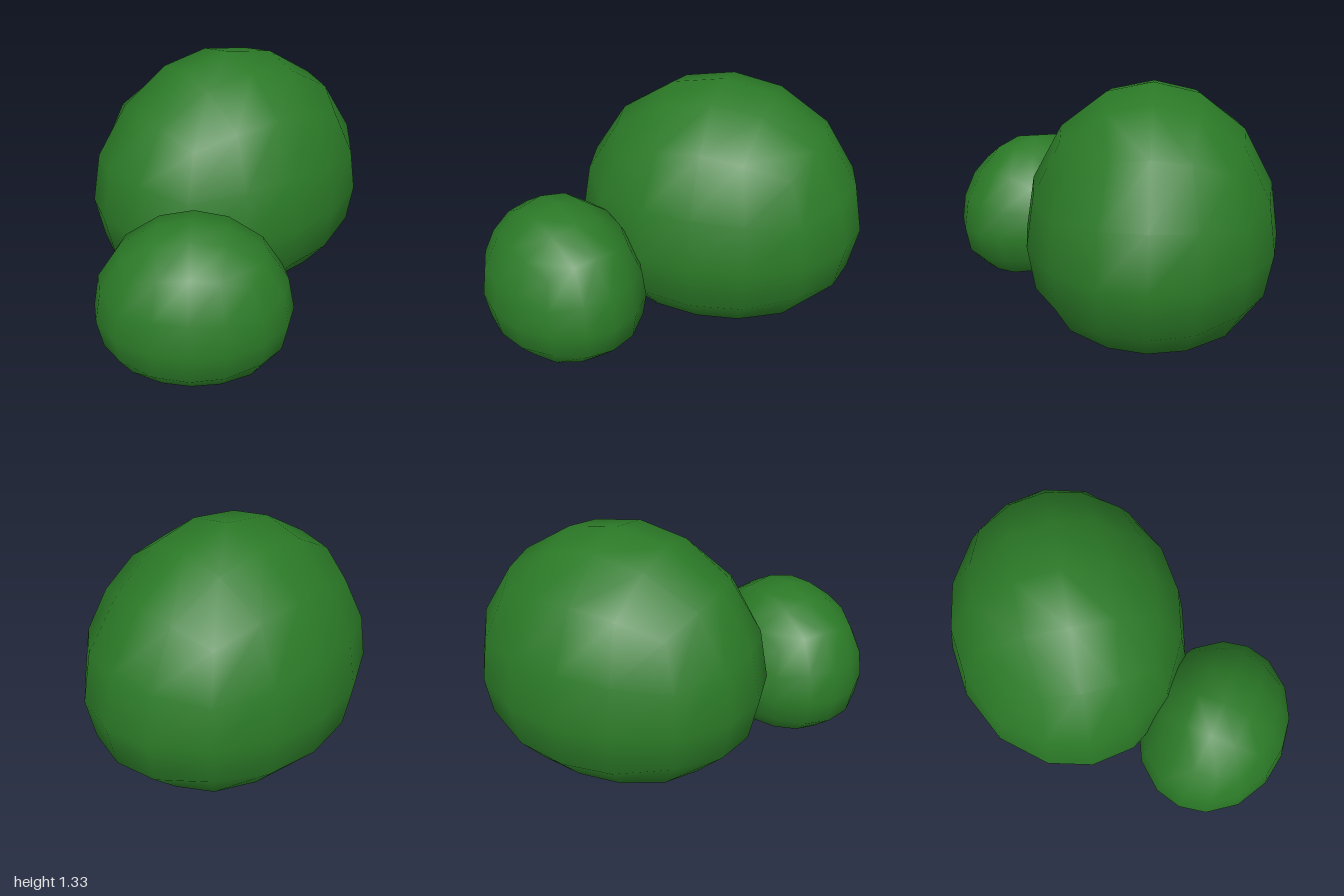
import * as THREE from 'three';
import { mergeVertices } from 'three/addons/utils/BufferGeometryUtils.js';

// Unit cube-sphere, four quads across each side, with a softly pushed-in underside
function bushGeometry() {
  let geo = new THREE.BoxGeometry(2, 2, 2, 4, 4, 4);
  geo.deleteAttribute('uv');
  geo.deleteAttribute('normal');
  geo = mergeVertices(geo);
  const pos = geo.attributes.position;
  const bottom = new THREE.Vector3(0, -1, 0);
  const p = new THREE.Vector3();
  const round = (a, b, c) => a * Math.sqrt(1 - b * b / 2 - c * c / 2 + b * b * c * c / 3);
  for (let i = 0; i < pos.count; i++) {
    const x = pos.getX(i), y = pos.getY(i), z = pos.getZ(i);
    p.set(round(x, y, z), round(y, z, x), round(z, x, y));
    // smooth falloff from the bottom pole
    const s = Math.max(0, 1 - p.distanceTo(bottom) / 1.45);
    p.y += 0.392 * s * s * (3 - 2 * s);
    pos.setXYZ(i, p.x, p.y, p.z);
  }
  geo.computeVertexNormals();
  return geo;
}

export function createModel() {
  const group = new THREE.Group();
  group.name = 'bushes';
  const leaves = new THREE.MeshStandardMaterial({ color: 0x2b7a27 });
  const geo = bushGeometry();

  function addBush(name, radius, x, y, z, turn) {
    const bush = new THREE.Mesh(geo, leaves);
    bush.name = name;
    bush.scale.set(radius, radius, radius * 0.83);
    bush.position.set(x, y, z);
    bush.rotation.y = turn;
    group.add(bush);
  }

  addBush('largeBush', 0.825, 0.172, 0.505, -0.257, 0);
  addBush('smallBush', 0.512, -0.521, 0.32, 0.48, -0.612);
  return group;
}
